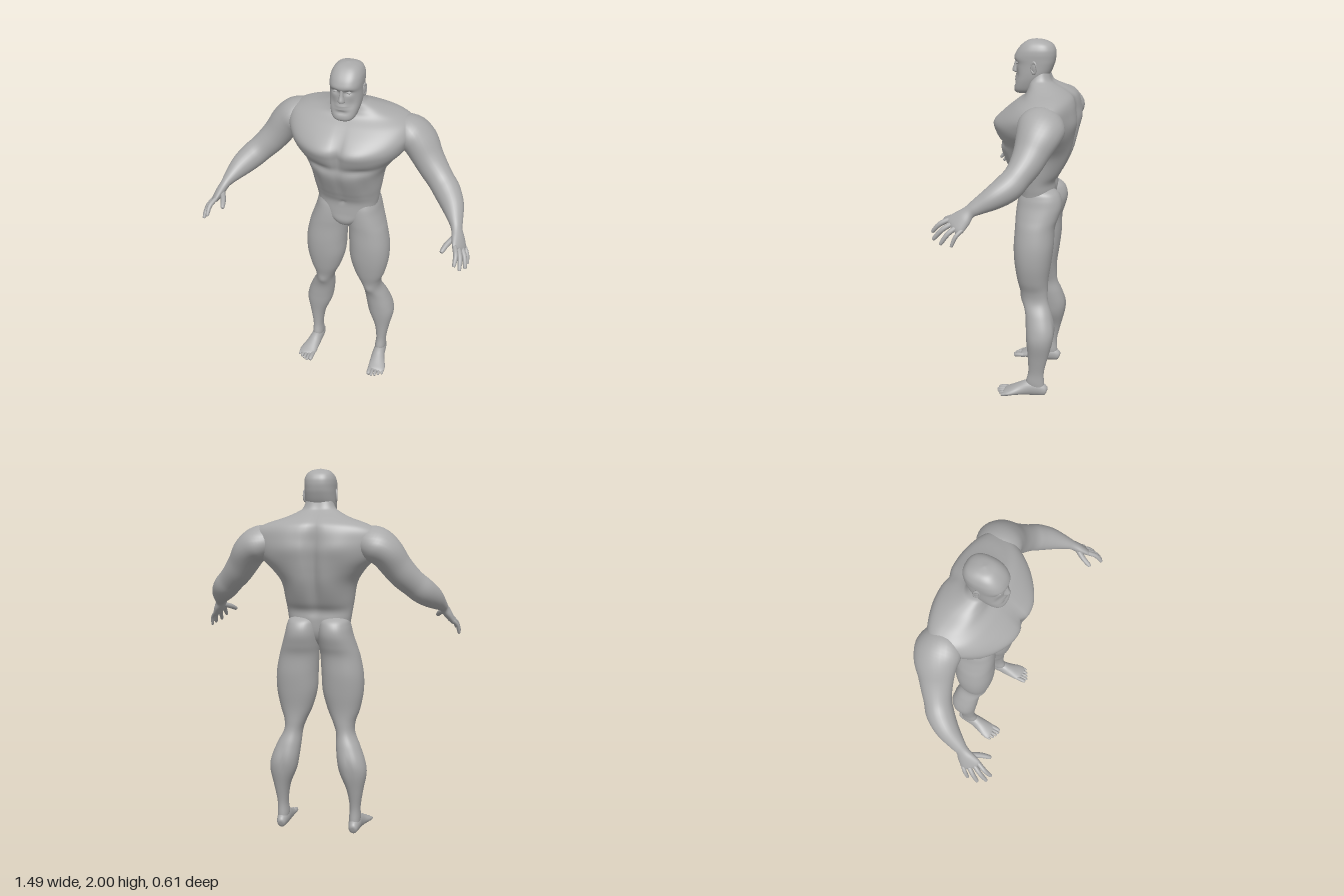
import * as THREE from 'three';

const skin = new THREE.MeshStandardMaterial({ color: 0xaaaaaa });
skin.name = 'grey skin';

// Smooth interpolation through rows of numbers, column by column
function refine(rows, steps) {
  const out = [], last = rows.length - 1;
  for (let i = 0; i < last; i++) {
    const [a, b, c, d] = [i - 1, i, i + 1, i + 2].map(k => rows[Math.min(last, Math.max(0, k))]);
    for (let j = 0; j < steps; j++) {
      const t = j / steps;
      out.push(b.map((_, k) => b[k] + 0.5 * t * (c[k] - a[k] +
        t * (2 * a[k] - 5 * b[k] + 4 * c[k] - d[k] + t * (3 * (b[k] - c[k]) + d[k] - a[k])))));
    }
  }
  out.push(rows[last]);
  return out;
}

// Closed skin over rings of points, with a fan at each end; side -1 mirrors it
function skinOver(name, rings, side = 1) {
  const n = rings[0].length, pos = [], idx = [];
  const middle = r => r.reduce((s, p) => s.add(p), new THREE.Vector3()).divideScalar(n);
  const all = rings.flat().concat(middle(rings[0]), middle(rings[rings.length - 1]));
  all.forEach(p => pos.push(p.x * side, p.y, p.z));
  const tri = (a, b, c) => (side > 0 ? idx.push(a, b, c) : idx.push(a, c, b));
  const top = (rings.length - 1) * n, cap = rings.length * n;
  for (let s = 0; s < n; s++) {
    const e = (s + 1) % n;
    for (let r = 0; r < top; r += n) {
      tri(r + s, r + n + s, r + e);
      tri(r + e, r + n + s, r + n + e);
    }
    tri(cap, s, e);
    tri(cap + 1, top + e, top + s);
  }
  const g = new THREE.BufferGeometry();
  g.setAttribute('position', new THREE.Float32BufferAttribute(pos, 3));
  g.setIndex(idx);
  g.computeVertexNormals();
  const mesh = new THREE.Mesh(g, skin);
  mesh.name = name;
  return mesh;
}

// Level rings [y, centre x, half width, front z, back z, (widest z)], with muscle
// bumps [x, y, front 1 / back -1, height, spread x, spread y] on both halves
function body(name, rows, { side = 1, segs = 40, power = 2.2, bumps = [] } = {}) {
  const full = rows.map(r => (r.length > 5 ? r : [...r, (r[3] + r[4]) / 2]));
  const bend = v => Math.sign(v) * Math.abs(v) ** (2 / power);
  const rings = refine(full, 6).map(([y, cx, hw, zf, zb, cz]) =>
    Array.from({ length: segs }, (_, i) => {
      const a = i / segs * Math.PI * 2, s = Math.sin(a);
      const x = cx + hw * bend(Math.cos(a));
      let z = cz + (s > 0 ? zf - cz : cz - zb) * bend(s);
      for (const [bx, by, dir, h, sx, sy] of bumps) if (s * dir > 0)
        z += dir * h * Math.abs(s) * Math.exp(-(((Math.abs(x) - bx) / sx) ** 2) - ((y - by) / sy) ** 2);
      return new THREE.Vector3(x, y, z);
    }));
  return skinOver(name, rings, side);
}

// Limb along a path [x, y, z, radius along ref, radius across]
function limb(name, rows, ref, side, segs = 28, steps = 5) {
  const fine = refine(rows, steps), pts = fine.map(r => new THREE.Vector3(...r.slice(0, 3)));
  const rings = fine.map((r, i) => {
    const t = pts[Math.min(i + 1, pts.length - 1)].clone().sub(pts[Math.max(i - 1, 0)]).normalize();
    const u = ref.clone().addScaledVector(t, -ref.dot(t)).normalize();
    const v = u.clone().cross(t);
    return Array.from({ length: segs }, (_, k) => {
      const a = k / segs * Math.PI * 2;
      const p = pts[i].clone().addScaledVector(u, Math.cos(a) * r[3]).addScaledVector(v, Math.sin(a) * r[4]);
      p.y = Math.max(p.y, 0);
      return p;
    });
  });
  return skinOver(name, rings, side);
}

// Finger or toe through three points, rounded at the tip
function digit(name, base, mid, tip, r, ref, side) {
  const end = tip.map((v, i) => v + (mid[i] - v) * 0.12);
  return limb(name, [[...base, r, r], [...mid, r, r], [...end, r * 0.75, r * 0.75],
    [...tip, r * 0.2, r * 0.2]], ref, side, 12, 4);
}

export function createModel() {
  const man = new THREE.Group();
  man.name = 'muscularMan';

  // Torso from crotch to neck
  man.add(body('torso', [
    [1.03, 0, 0.02, -0.03, -0.07, -0.05], [1.045, 0, 0.05, 0, -0.1, -0.06],
    [1.08, 0, 0.1, 0.018, -0.15, -0.08], [1.13, 0, 0.155, 0.015, -0.18, -0.09],
    [1.2, 0, 0.172, 0.015, -0.19, -0.09], [1.25, 0, 0.18, 0.035, -0.19, -0.09],
    [1.3, 0, 0.188, 0.06, -0.22, -0.09], [1.4, 0, 0.205, 0.105, -0.265, -0.1],
    [1.47, 0, 0.25, 0.115, -0.285, -0.13], [1.53, 0, 0.305, 0.128, -0.295, -0.15],
    [1.58, 0, 0.33, 0.13, -0.3, -0.16], [1.63, 0, 0.345, 0.09, -0.295, -0.165],
    [1.68, 0, 0.33, 0.03, -0.29, -0.165], [1.715, 0, 0.27, -0.02, -0.275, -0.165],
    [1.745, 0, 0.18, -0.035, -0.235, -0.14], [1.775, 0, 0.115, -0.04, -0.18, -0.11],
    [1.8, 0, 0.085, -0.04, -0.158, -0.1], [1.86, 0, 0.065, -0.05, -0.14, -0.1],
  ], {
    segs: 96, power: 2.3, bumps: [
      [0.1, 1.57, 1, 0.014, 0.09, 0.06],     // chest
      [0.12, 1.465, 1, -0.014, 0.09, 0.022], // crease below the chest
      [0, 1.56, 1, -0.022, 0.022, 0.09],     // breastbone
      [0, 1.36, 1, -0.008, 0.02, 0.1],       // belly line
      [0.13, 1.34, 1, -0.01, 0.025, 0.1],    // edge of the belly
      [0, 1.21, 1, -0.008, 0.012, 0.012],    // navel
      [0, 1.5, -1, -0.03, 0.03, 0.22],       // spine
      [0.13, 1.6, -1, 0.012, 0.08, 0.08],    // shoulder blade
      [0.09, 1.36, -1, 0.008, 0.05, 0.1],    // lower back
    ],
  }));

  // Head
  const head = new THREE.Group();
  head.name = 'head';
  head.add(body('skull', [
    [1.715, 0, 0.025, 0.02, -0.03], [1.722, 0, 0.046, 0.038, -0.05], [1.74, 0, 0.063, 0.045, -0.075],
    [1.78, 0, 0.076, 0.038, -0.105], [1.82, 0, 0.082, 0.034, -0.145], [1.87, 0, 0.083, 0.034, -0.167],
    [1.9, 0, 0.084, 0.044, -0.174], [1.925, 0, 0.084, 0.037, -0.176], [1.95, 0, 0.08, 0.022, -0.172],
    [1.975, 0, 0.067, -0.002, -0.155], [1.992, 0, 0.043, -0.03, -0.12], [2, 0, 0.004, -0.07, -0.078],
  ], {
    segs: 72, power: 2.5, bumps: [
      [0.036, 1.878, 1, -0.014, 0.02, 0.012], // eye sockets
      [0.05, 1.815, 1, -0.008, 0.02, 0.03],   // cheeks
      [0, 1.795, 1, 0.008, 0.03, 0.014],      // mouth
      [0, 1.795, 1, -0.009, 0.03, 0.003],     // line between the lips
      [0, 1.768, 1, -0.007, 0.03, 0.009],     // dip above the chin
    ],
  }));
  head.add(body('nose', [
    [1.822, 0, 0.008, 0.042, 0.02], [1.828, 0, 0.018, 0.054, 0.01], [1.838, 0, 0.017, 0.058, 0.01],
    [1.86, 0, 0.012, 0.05, 0.01], [1.885, 0, 0.009, 0.043, 0.01], [1.905, 0, 0.005, 0.04, 0.01],
  ], { segs: 24, power: 2 }));
  man.add(head);

  // Legs, arms and ears, mirrored
  const across = new THREE.Vector3(1, 0, 0), spread = new THREE.Vector3(-0.38, 0.38, 0.84);
  for (const side of [1, -1]) {
    const word = side > 0 ? 'left' : 'right';
    const eye = new THREE.Mesh(new THREE.SphereGeometry(0.011, 16, 10), skin);
    eye.name = word + 'Eye';
    eye.scale.set(1.25, 0.6, 0.8);
    eye.position.set(side * 0.035, 1.877, 0.022);
    const ear = new THREE.Group();
    ear.name = word + 'Ear';
    const rim = new THREE.Mesh(new THREE.TorusGeometry(0.015, 0.005, 8, 24), skin);
    const lobe = new THREE.Mesh(new THREE.SphereGeometry(0.014, 16, 10), skin);
    rim.scale.set(1, 1.8, 1);
    lobe.scale.set(1, 1.7, 0.35);
    ear.add(rim, lobe);
    ear.position.set(side * 0.086, 1.86, -0.075);
    ear.rotation.set(0, side * (Math.PI / 2 - 0.3), 0);
    head.add(eye, ear);

    const leg = new THREE.Group();
    leg.name = word + 'Leg';
    leg.add(body('thighAndCalf', [
      [0.03, 0.208, 0.026, -0.09, -0.175], [0.08, 0.208, 0.032, -0.065, -0.17],
      [0.15, 0.21, 0.03, -0.078, -0.168], [0.25, 0.21, 0.046, -0.075, -0.19],
      [0.35, 0.2, 0.075, -0.065, -0.215], [0.42, 0.188, 0.077, -0.06, -0.22],
      [0.5, 0.168, 0.066, -0.052, -0.2], [0.57, 0.149, 0.052, -0.032, -0.176],
      [0.63, 0.139, 0.063, -0.017, -0.171], [0.7, 0.135, 0.09, 0, -0.173],
      [0.8, 0.131, 0.113, 0.015, -0.187], [0.9, 0.128, 0.116, 0.02, -0.198],
      [1, 0.116, 0.109, 0.016, -0.202], [1.06, 0.104, 0.102, 0.015, -0.22],
      [1.12, 0.094, 0.093, 0.01, -0.235], [1.17, 0.09, 0.085, 0, -0.228],
      [1.205, 0.086, 0.074, -0.02, -0.2], [1.235, 0.08, 0.03, -0.08, -0.13],
    ], { side, bumps: [[0.145, 0.58, 1, 0.008, 0.03, 0.03], [0.19, 0.4, -1, -0.006, 0.012, 0.07]] }));
    leg.add(limb('foot', [
      [0.208, 0.03, -0.186, 0.01, 0.012], [0.208, 0.033, -0.176, 0.024, 0.03],
      [0.208, 0.045, -0.13, 0.034, 0.046], [0.21, 0.045, -0.08, 0.037, 0.047],
      [0.216, 0.034, -0.03, 0.043, 0.036], [0.226, 0.023, 0.02, 0.051, 0.023],
      [0.23, 0.017, 0.05, 0.05, 0.015], [0.23, 0.015, 0.062, 0.035, 0.008],
    ], across, side));
    [0.1, 0.105, 0.098, 0.086, 0.072].forEach((z, i) => {
      const x = 0.191 + i * 0.0195, r = i ? 0.0095 : 0.014;
      leg.add(digit('toe', [x, 0.018, 0.03], [x + 0.001, 0.016, z - 0.025], [x + 0.002, 0.01, z], r, across, side));
    });

    // Shoulder, arm and palm are one piece
    const arm = new THREE.Group();
    arm.name = word + 'Arm';
    arm.add(limb('armAndPalm', [
      [0.2, 1.64, -0.17, 0.03, 0.02], [0.25, 1.63, -0.17, 0.09, 0.07],
      [0.315, 1.61, -0.166, 0.12, 0.092], [0.37, 1.57, -0.157, 0.113, 0.09],
      [0.42, 1.5, -0.135, 0.092, 0.082], [0.46, 1.45, -0.115, 0.081, 0.078],
      [0.51, 1.4, -0.085, 0.07, 0.072], [0.555, 1.36, -0.05, 0.071, 0.071],
      [0.6, 1.32, 0.01, 0.06, 0.06], [0.637, 1.278, 0.085, 0.041, 0.036],
      [0.652, 1.255, 0.12, 0.034, 0.026], [0.668, 1.225, 0.15, 0.048, 0.025],
      [0.685, 1.192, 0.185, 0.057, 0.019], [0.691, 1.18, 0.198, 0.04, 0.01],
    ], spread, side));
    [[0.685, 1.15, 0.3], [0.713, 1.122, 0.288], [0.735, 1.108, 0.245], [0.737, 1.1, 0.19]].forEach((tip, i) => {
      const o = 0.044 - i * 0.0293;
      const base = [0.68 - 0.38 * o, 1.2 + 0.38 * o, 0.175 + 0.84 * o];
      const mid = base.map((v, k) => (v + tip[k]) / 2 + [0.008, 0.01, 0.004][k]);
      arm.add(digit('finger', base, mid, tip, i === 3 ? 0.0105 : 0.0125, spread, side));
    });
    arm.add(digit('thumb', [0.66, 1.235, 0.145], [0.626, 1.215, 0.205], [0.607, 1.193, 0.26], 0.0145, spread, side));
    man.add(leg, arm);
  }
  return man;
}
